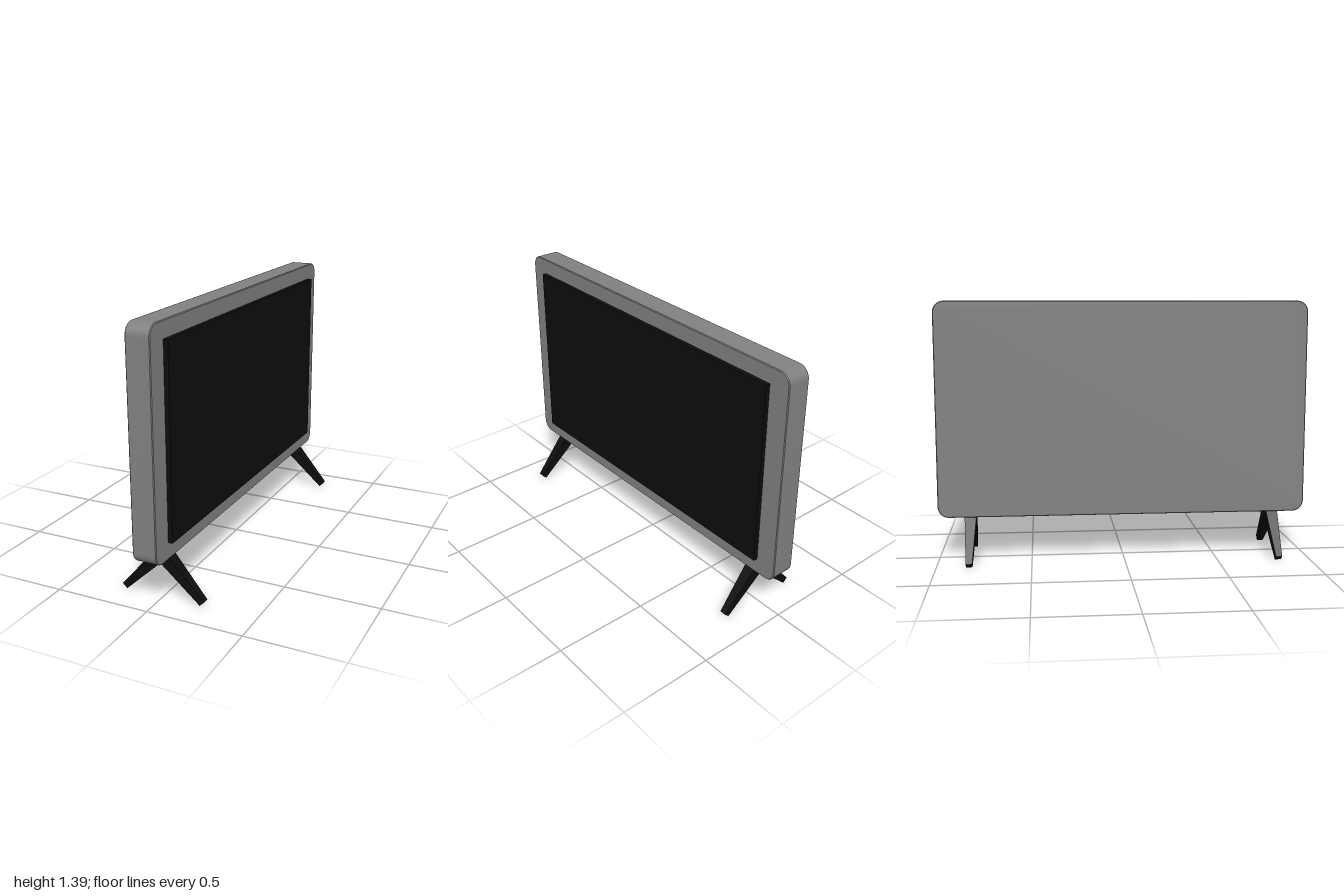
import * as THREE from 'three';
import { toCreasedNormals } from 'three/addons/utils/BufferGeometryUtils.js';

const shellMaterial = new THREE.MeshStandardMaterial({ color: 0x808080 });
const blackMaterial = new THREE.MeshStandardMaterial({ color: 0x0d0d0d });

// Upright slab with rounded corners: wide along z, thin along x, centred on the origin.
function roundedSlab(width, height, depth, radius, bevel) {
  const w = width / 2 - bevel, h = height / 2 - bevel, r = radius - bevel;
  const shape = new THREE.Shape();
  shape.absarc(w - r, h - r, r, 0, Math.PI / 2);
  shape.absarc(-w + r, h - r, r, Math.PI / 2, Math.PI);
  shape.absarc(-w + r, -h + r, r, Math.PI, Math.PI * 1.5);
  shape.absarc(w - r, -h + r, r, Math.PI * 1.5, Math.PI * 2);
  shape.closePath();
  const geometry = new THREE.ExtrudeGeometry(shape, {
    depth: depth - 2 * bevel, curveSegments: 8,
    bevelEnabled: true, bevelSize: bevel, bevelThickness: bevel, bevelSegments: 1,
  });
  geometry.center();
  geometry.rotateY(Math.PI / 2);
  return toCreasedNormals(geometry, Math.PI / 6);
}

// Square tapered leg running from the underside of the cabinet to the floor.
function taperedLeg(top, foot) {
  const axis = top.clone().sub(foot);
  const geometry = new THREE.CylinderGeometry(0.033 * Math.SQRT2, 0.017 * Math.SQRT2, axis.length(), 4, 1);
  geometry.rotateY(Math.PI / 4);
  const leg = new THREE.Mesh(toCreasedNormals(geometry, Math.PI / 6), blackMaterial);
  leg.quaternion.setFromUnitVectors(new THREE.Vector3(0, 1, 0), axis.normalize());
  leg.position.copy(top).add(foot).multiplyScalar(0.5);
  return leg;
}

export function createModel() {
  const model = new THREE.Group();
  model.name = 'television';

  // Cabinet
  const cabinet = new THREE.Mesh(roundedSlab(2, 1.155, 0.127, 0.06, 0.004), shellMaterial);
  cabinet.name = 'cabinet';
  cabinet.position.set(-0.002, 0.8125, 0);
  model.add(cabinet);

  // Screen panel standing slightly proud of the cabinet
  const screen = new THREE.Mesh(new THREE.BoxGeometry(0.045, 0.983, 1.77), blackMaterial);
  screen.name = 'screen';
  screen.position.set(0.0625, 0.8135, 0);
  model.add(screen);

  // Two splayed pairs of legs
  for (const end of [-1, 1]) {
    const stand = new THREE.Group();
    stand.name = end > 0 ? 'frontStand' : 'backStand';
    stand.position.z = end * 0.828;
    for (const side of [-1, 1]) {
      const leg = taperedLeg(new THREE.Vector3(0, 0.235, 0), new THREE.Vector3(side * 0.215, 0.012, 0));
      leg.name = side > 0 ? 'leftLeg' : 'rightLeg';
      stand.add(leg);
    }
    model.add(stand);
  }
  return model;
}
